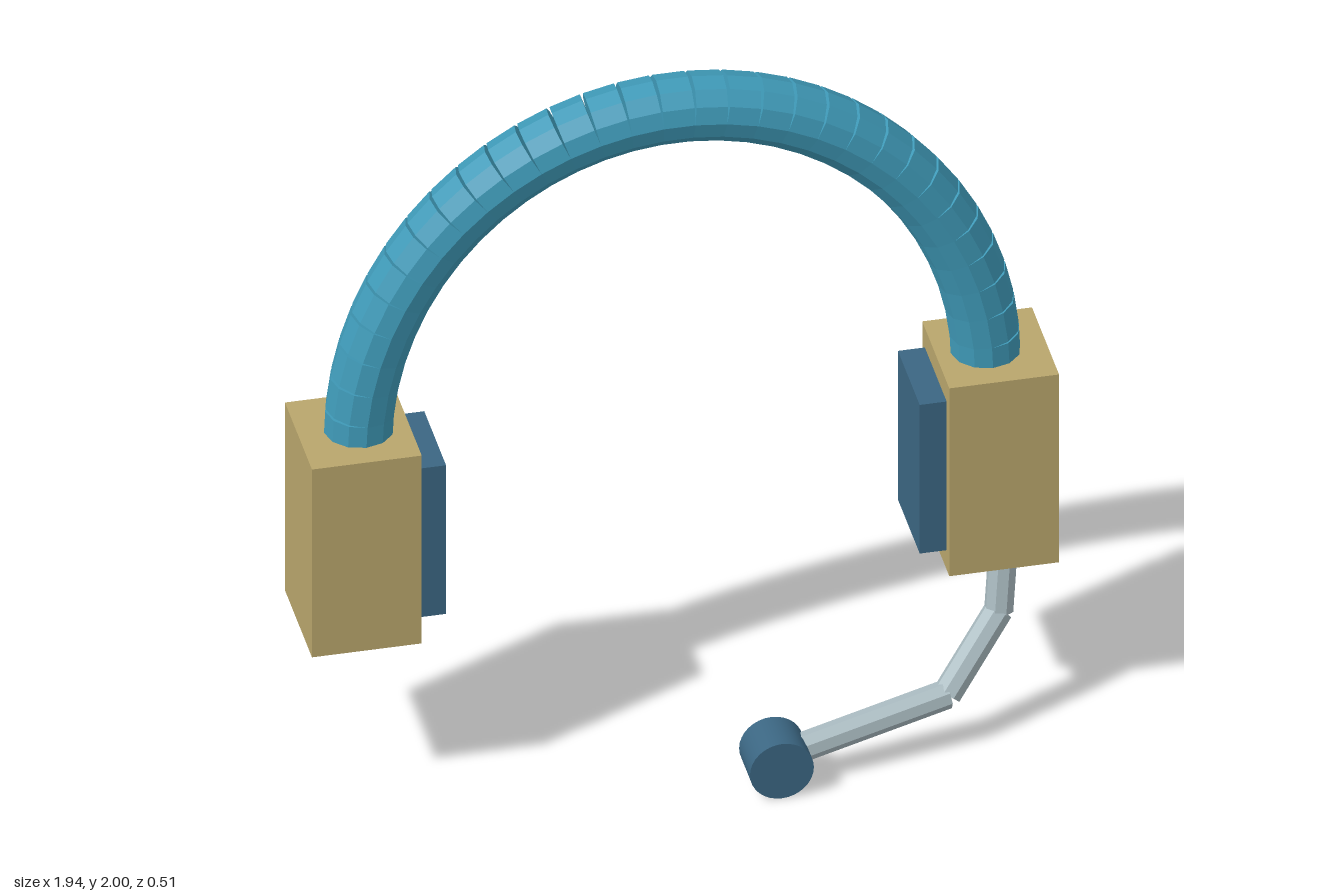
import * as THREE from 'three';

const mat = (name, color, flatShading = false) => {
  const m = new THREE.MeshStandardMaterial({ color, flatShading });
  m.name = name;
  return m;
};

export function createModel() {
  const teal = mat('teal', 0x3f9ab8, true);
  const tan = mat('tan', 0xb9a66c);
  const navy = mat('navy', 0x3b6682);
  const metal = mat('metal', 0xaabbc1, true);

  const root = new THREE.Group();
  root.name = 'headset';
  const Z = -0.1; // depth of the band and ear cups

  const add = (parent, name, geometry, material, x, y, z) => {
    const mesh = new THREE.Mesh(geometry, material);
    mesh.name = name;
    mesh.position.set(x, y, z);
    parent.add(mesh);
    return mesh;
  };

  // straight cylinder between two points
  const rod = (parent, name, a, b, radius, sides, material) => {
    const dir = b.clone().sub(a);
    const geometry = new THREE.CylinderGeometry(radius, radius, dir.length(), sides);
    const mid = a.clone().add(b).multiplyScalar(0.5);
    const mesh = add(parent, name, geometry, material, mid.x, mid.y, mid.z);
    mesh.quaternion.setFromUnitVectors(new THREE.Vector3(0, 1, 0), dir.normalize());
  };

  // headband: straight links along half an ellipse, open on the outer side
  const band = new THREE.Group();
  band.name = 'headband';
  root.add(band);
  const links = 31;
  const arc = (i) => {
    const t = (i / links) * Math.PI;
    return new THREE.Vector3(0.815 * Math.cos(t), 1.02 + 0.89 * Math.sin(t), Z);
  };
  for (let i = 0; i < links; i++) {
    rod(band, 'bandLink', arc(i), arc(i + 1), 0.09, 12, teal);
  }

  // ear cups and inner pads
  for (const [side, s] of [['left', 1], ['right', -1]]) {
    add(root, side + 'EarCup', new THREE.BoxGeometry(0.285, 0.575, 0.31), tan, s * 0.8275, 0.7625, Z);
    add(root, side + 'EarPad', new THREE.BoxGeometry(0.08, 0.455, 0.25), navy, s * 0.655, 0.7625, Z);
  }

  // microphone boom
  const boom = new THREE.Group();
  boom.name = 'microphoneBoom';
  root.add(boom);
  const path = [[0.835, 0.52, 0.012], [0.818, 0.34, 0.035], [0.665, 0.157, 0.115], [0.22, 0.088, 0.19]]
    .map((p) => new THREE.Vector3(...p));
  for (let i = 0; i < path.length - 1; i++) {
    rod(boom, 'boomSegment', path[i], path[i + 1], 0.038, 8, metal);
  }

  // microphone
  const mic = add(root, 'microphone', new THREE.CylinderGeometry(0.083, 0.083, 0.125, 32), navy, 0.205, 0.083, 0.193);
  mic.rotation.x = Math.PI / 2;

  return root;
}
